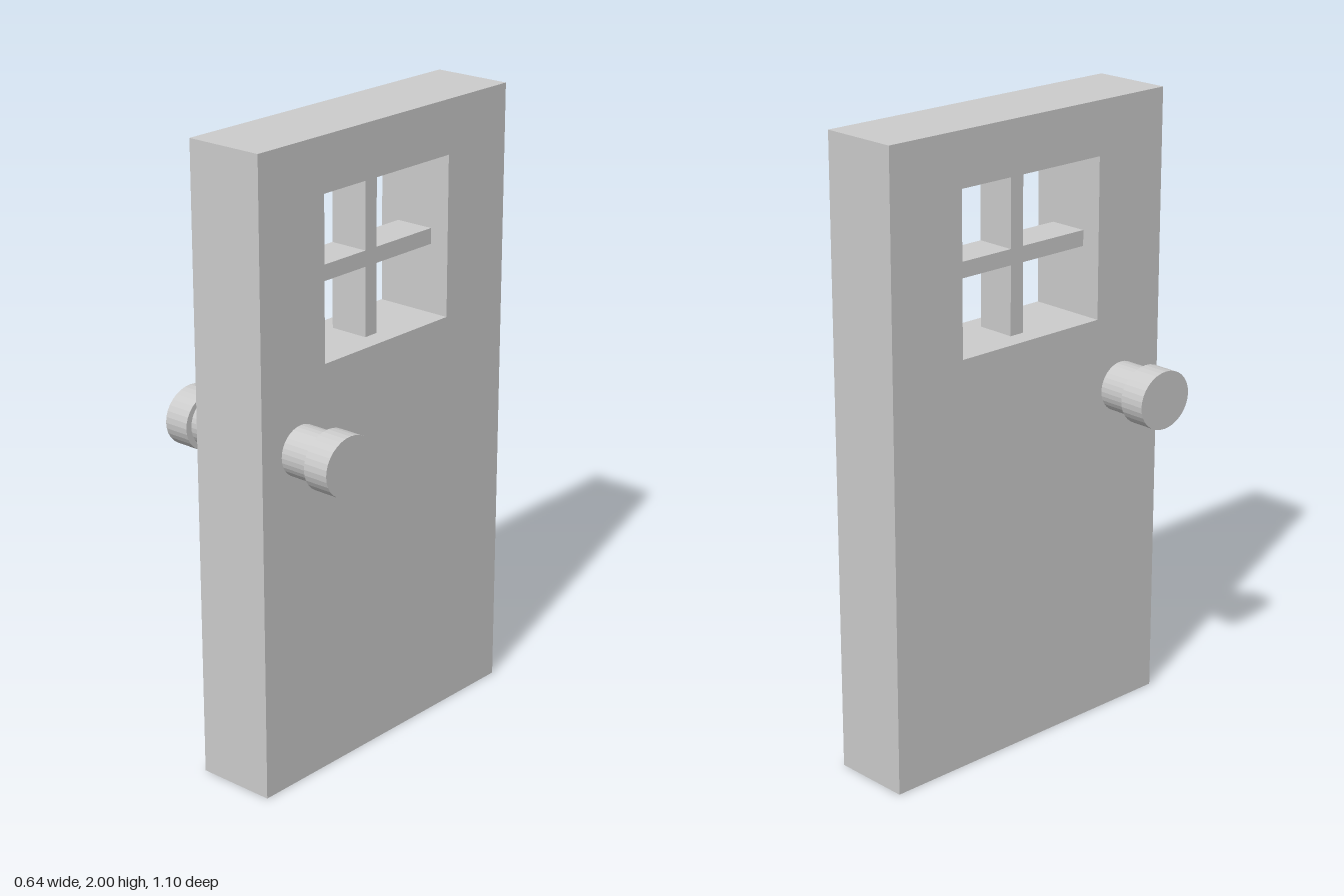
import * as THREE from 'three';

const T = 0.26, W = 1.095, H = 2;                        // door thickness, width, height
const WIN = { half: 0.278, bottom: 1.32, top: 1.83 };    // window opening
const BAR = 0.05, BAR_DEPTH = 0.13;

export function createModel() {
  const model = new THREE.Group();
  model.name = 'door';
  const grey = new THREE.MeshStandardMaterial({ color: 0xcccccc });
  const faceted = new THREE.MeshStandardMaterial({ color: 0xcccccc, flatShading: true });

  const add = (parent, name, geometry, material, x = 0, y = 0, z = 0) => {
    const mesh = new THREE.Mesh(geometry, material);
    mesh.name = name;
    mesh.position.set(x, y, z);
    parent.add(mesh);
    return mesh;
  };

  // Slab with a rectangular window hole
  const outline = new THREE.Shape()
    .moveTo(-W / 2, 0).lineTo(W / 2, 0).lineTo(W / 2, H).lineTo(-W / 2, H).closePath();
  outline.holes.push(new THREE.Path()
    .moveTo(-WIN.half, WIN.bottom).lineTo(-WIN.half, WIN.top)
    .lineTo(WIN.half, WIN.top).lineTo(WIN.half, WIN.bottom).closePath());
  const slab = new THREE.ExtrudeGeometry(outline, { depth: T, bevelEnabled: false });
  slab.translate(0, 0, -T / 2).rotateY(Math.PI / 2);
  add(model, 'doorSlab', slab, grey);

  // Window cross, recessed from both faces
  const midY = 1.565;
  const winH = WIN.top - WIN.bottom;
  add(model, 'verticalWindowBar', new THREE.BoxGeometry(BAR_DEPTH, winH, BAR), grey,
    0, WIN.bottom + winH / 2, 0);
  const armLength = WIN.half - BAR / 2;
  for (const side of [1, -1]) {
    add(model, side > 0 ? 'frontWindowBar' : 'backWindowBar',
      new THREE.BoxGeometry(BAR_DEPTH, BAR, armLength), grey,
      0, midY, side * (BAR / 2 + armLength / 2));
  }

  // Slightly oval knobs on both faces, each a stem and a wider grip
  const oval = (ry, rz, length) =>
    new THREE.CylinderGeometry(1, 1, length, 32).rotateZ(-Math.PI / 2).scale(1, ry, rz);
  for (const side of [1, -1]) {
    const knob = new THREE.Group();
    knob.name = side > 0 ? 'leftKnob' : 'rightKnob';
    knob.position.set(0, 1.083, 0.383);
    add(knob, 'knobStem', oval(0.079, 0.083, 0.105), faceted, side * 0.1825);
    add(knob, 'knobGrip', oval(0.093, 0.104, 0.085), faceted, side * 0.2775);
    model.add(knob);
  }
  return model;
}
